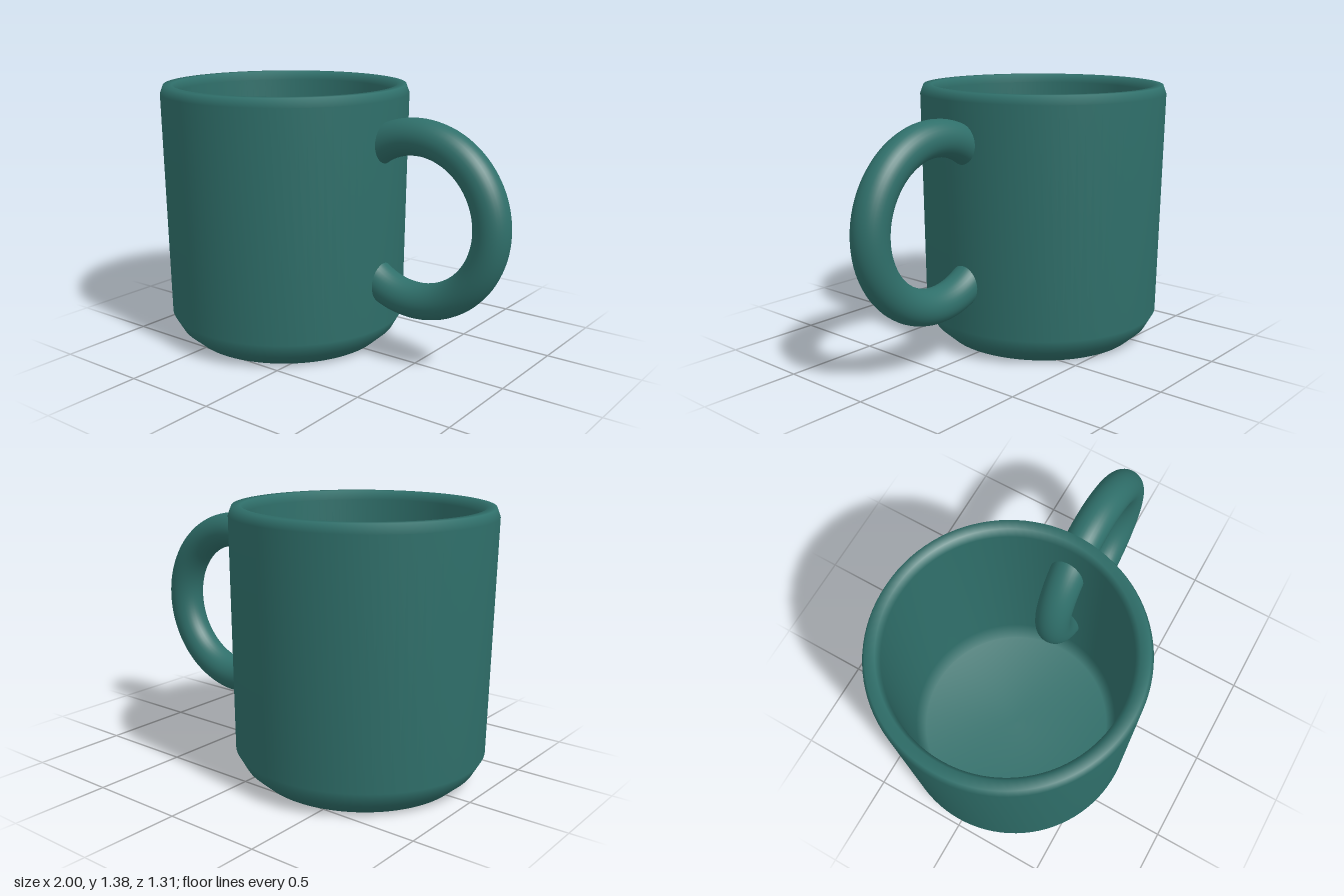
import * as THREE from 'three';

export function createModel() {
  const group = new THREE.Group();
  const glaze = new THREE.MeshStandardMaterial({ color: 0x2f6f6a, side: THREE.DoubleSide });

  // Cup: one closed profile, from the base up the outside, over the rim and down to the inner floor
  const profile = [
    [0, 0], [0.52, 0], [0.593, 0.065], [0.638, 0.145], [0.655, 1.33], [0.638, 1.375],
    [0.592, 1.375], [0.572, 1.33], [0.56, 0.2], [0.515, 0.11], [0, 0.1],
  ].map(([r, y]) => new THREE.Vector2(r, y));
  const cup = new THREE.Mesh(new THREE.LatheGeometry(profile, 96), glaze);
  cup.name = 'cup';
  cup.position.x = -0.345;
  group.add(cup);

  // Handle: a full ring whose inner side passes through the cup wall
  const handle = new THREE.Mesh(new THREE.TorusGeometry(0.415, 0.092, 32, 96), glaze);
  handle.name = 'handle';
  handle.position.set(0.492, 0.756, 0);
  group.add(handle);

  return group;
}
